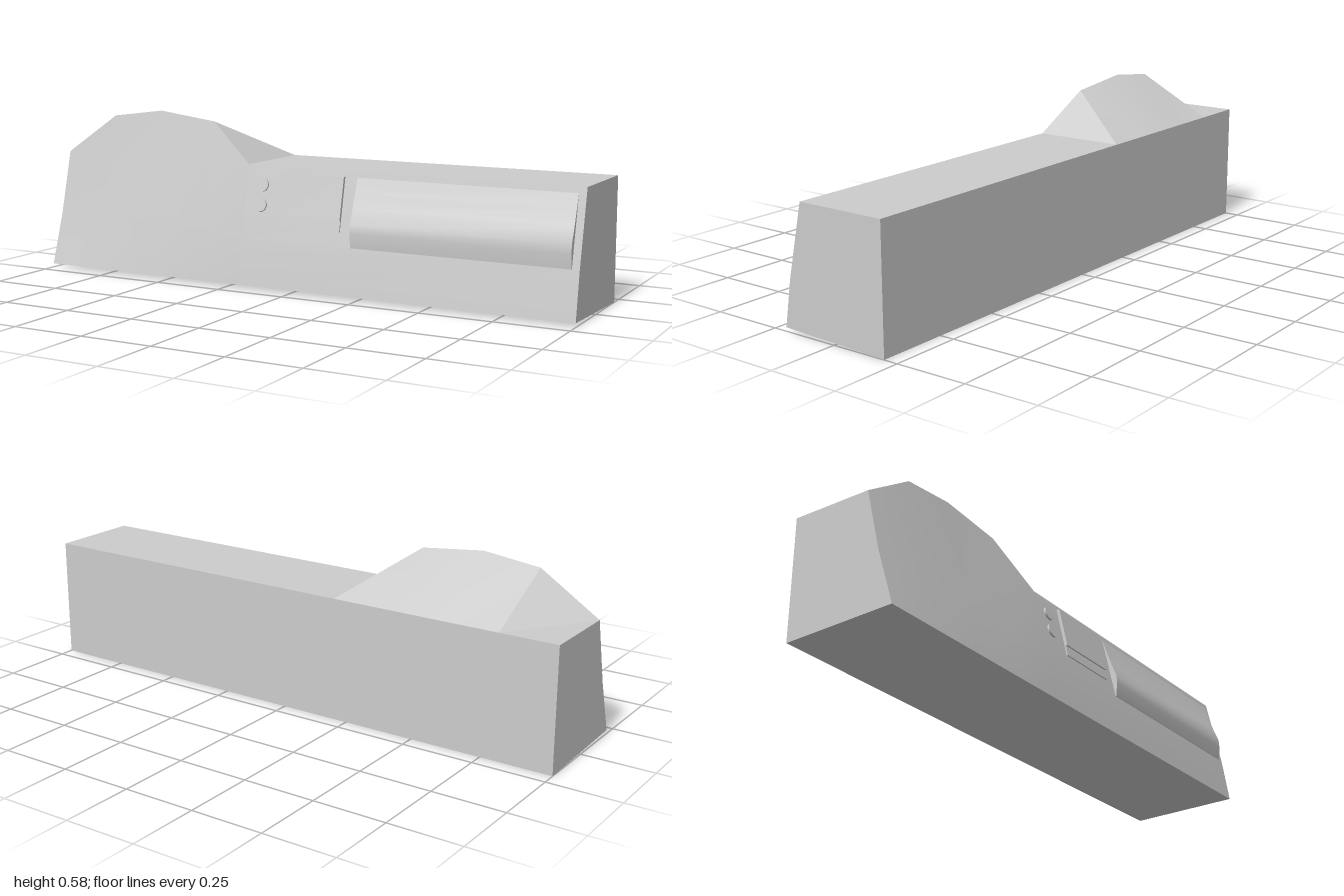
import * as THREE from 'three';
import { toCreasedNormals } from 'three/addons/utils/BufferGeometryUtils.js';

const material = new THREE.MeshStandardMaterial({ color: 0xcccccc });

// Depth of the sloping front face at height y
const SLOPE = 0.22;
const faceZ = (y) => 0.175 - SLOPE * (y - 0.17);

// Closed loft along +x; each section is { x, points: [[z, y], ...] } running back, front, up
function loft(name, sections) {
  const n = sections[0].points.length;
  const positions = [];
  const put = (s, i) => {
    const [z, y] = sections[s].points[i % n];
    positions.push(sections[s].x, y, z);
  };
  for (let s = 0; s < sections.length - 1; s++) {
    for (let i = 0; i < n; i++) {
      put(s, i); put(s + 1, i); put(s + 1, i + 1);
      put(s, i); put(s + 1, i + 1); put(s, i + 1);
    }
  }
  const last = sections.length - 1;
  for (let i = 1; i < n - 1; i++) {
    put(0, 0); put(0, i); put(0, i + 1);
    put(last, 0); put(last, i + 1); put(last, i);
  }
  const geometry = new THREE.BufferGeometry();
  geometry.setAttribute('position', new THREE.Float32BufferAttribute(positions, 3));
  const mesh = new THREE.Mesh(toCreasedNormals(geometry, 0.45), material);
  mesh.name = name;
  return mesh;
}

// Constant profile between two x positions
const bar = (name, x0, x1, points) => loft(name, [{ x: x0, points }, { x: x1, points }]);

// Thin panel lying on the sloping face
function panel(name, x0, x1, y0, y1, lift) {
  return bar(name, x0, x1, [
    [faceZ(y0) - 0.02, y0], [faceZ(y0) + lift, y0],
    [faceZ(y1) + lift, y1], [faceZ(y1) - 0.02, y1],
  ]);
}

export function createModel() {
  const group = new THREE.Group();
  group.name = 'dashboard';

  // Main body with the raised instrument hood: x, mid y, mid z, top y, top z
  const columns = [
    [-1, 0.2, 0.14, 0.42, 0.085],
    [-0.8, 0.2, 0.15, 0.56, 0.068],
    [-0.6, 0.2, 0.157, 0.585, 0.063],
    [-0.37, 0.19, 0.165, 0.557, 0.073],
    [-0.2, 0.17, 0.175, 0.42, 0.12],
    [1, 0.17, 0.175, 0.42, 0.12],
  ];
  group.add(loft('dashboardBody', columns.map(([x, my, mz, ty, tz]) => ({
    x,
    points: [[-0.2, 0], [0.2, 0.013], [mz, my], [tz, ty], [-0.2, 0.42]],
  }))));

  // Centre console: upper panel and lower strip
  group.add(panel('consolePanel', -0.07, 0.175, 0.258, 0.401, 0.011));
  group.add(panel('consoleStrip', -0.07, 0.175, 0.22, 0.258, 0.005));

  // Bulging glovebox lid
  group.add(bar('gloveboxLid', 0.22, 0.975, [
    [0.15, 0.172], [0.177, 0.172], [0.182, 0.22], [0.18, 0.25],
    [0.16, 0.3], [0.142, 0.35], [0.125, 0.4], [0.1, 0.4],
  ]));

  // Two round knobs beside the console
  for (const y of [0.355, 0.287]) {
    const knob = new THREE.Mesh(new THREE.CylinderGeometry(0.024, 0.024, 0.014, 24), material);
    knob.name = 'knob';
    knob.position.set(-0.137, y, faceZ(y));
    knob.rotation.x = Math.PI / 2 - Math.atan(SLOPE);
    group.add(knob);
  }

  return group;
}
